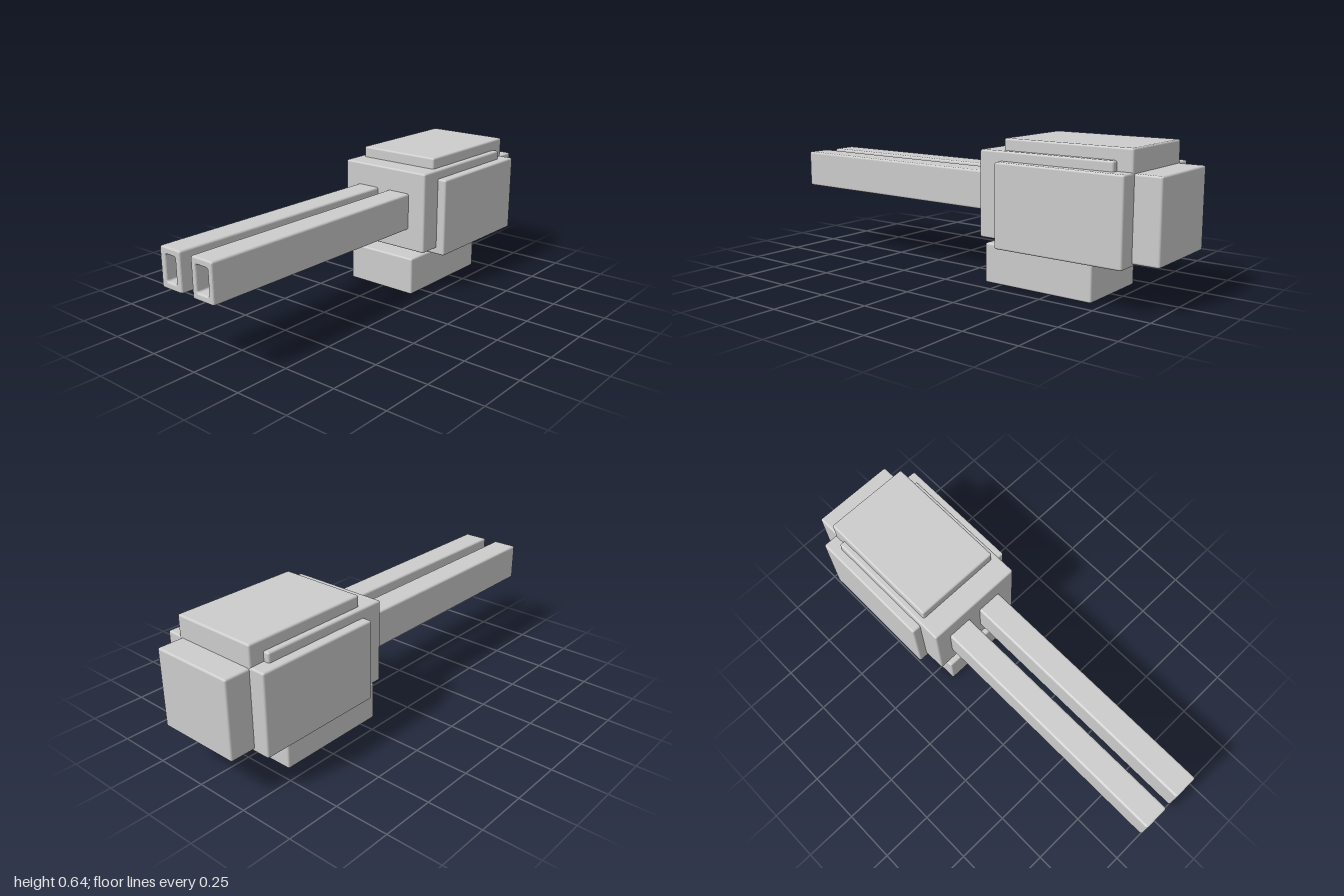
import * as THREE from 'three';
import { RoundedBoxGeometry } from 'three/addons/geometries/RoundedBoxGeometry.js';

const BEVEL = 0.009;
const grey = new THREE.MeshStandardMaterial({ color: 0xcccccc });
grey.name = 'grey';

// Softly rounded block given by its extents on each axis
function block(name, [x0, x1], [y0, y1], [z0, z1]) {
  const geometry = new RoundedBoxGeometry(x1 - x0, y1 - y0, z1 - z0, 3, BEVEL);
  const mesh = new THREE.Mesh(geometry, grey);
  mesh.name = name;
  mesh.position.set((x0 + x1) / 2, (y0 + y1) / 2, (z0 + z1) / 2);
  return mesh;
}

// Rectangle outline with rounded corners, centred on the origin
function roundedRect(target, w, h, r) {
  const x = w / 2, y = h / 2;
  target.absarc(x - r, y - r, r, 0, Math.PI / 2);
  target.absarc(r - x, y - r, r, Math.PI / 2, Math.PI);
  target.absarc(r - x, r - y, r, Math.PI, Math.PI * 1.5);
  target.absarc(x - r, r - y, r, Math.PI * 1.5, Math.PI * 2);
  target.closePath();
  return target;
}

// Square barrel with a recessed muzzle
function barrel(name, x, boreWidth) {
  const group = new THREE.Group();
  group.name = name;
  const back = -0.25, front = 1, boreDepth = 0.1;
  const shape = roundedRect(new THREE.Shape(), 0.119, 0.173, BEVEL + 0.001);
  shape.holes.push(roundedRect(new THREE.Path(), boreWidth, 0.112, 0.008));
  const tubeGeometry = new THREE.ExtrudeGeometry(shape, {
    depth: front - back - 2 * BEVEL, curveSegments: 3, bevelSegments: 3,
    bevelSize: 0.007, bevelThickness: BEVEL, bevelOffset: -0.007,
  });
  tubeGeometry.translate(0, 0, back + BEVEL);
  const tube = new THREE.Mesh(tubeGeometry, grey);
  tube.name = name + 'Tube';

  // Floor of the muzzle recess
  const floor = new THREE.Mesh(new THREE.PlaneGeometry(boreWidth + 0.01, 0.122), grey);
  floor.name = name + 'BoreFloor';
  floor.position.z = front - boreDepth;
  group.add(tube, floor);
  group.position.set(x, 0.4, 0);
  return group;
}

export function createModel() {
  const model = new THREE.Group();
  model.name = 'twinBarrelTurret';
  model.add(
    block('base', [-0.189, 0.177], [0, 0.178], [-0.7, -0.167]),
    block('body', [-0.234, 0.232], [0.215, 0.593], [-0.815, -0.18]),
    block('sideArmor', [-0.277, 0.275], [0.184, 0.551], [-0.884, -0.285]),
    block('roofPlate', [-0.207, 0.204], [0.5, 0.644], [-0.884, -0.285]),
    block('rearBlock', [-0.202, 0.192], [0.195, 0.546], [-1, -0.6]),
    barrel('rightBarrel', -0.0975, 0.057),
    barrel('leftBarrel', 0.083, 0.066),
  );
  return model;
}
